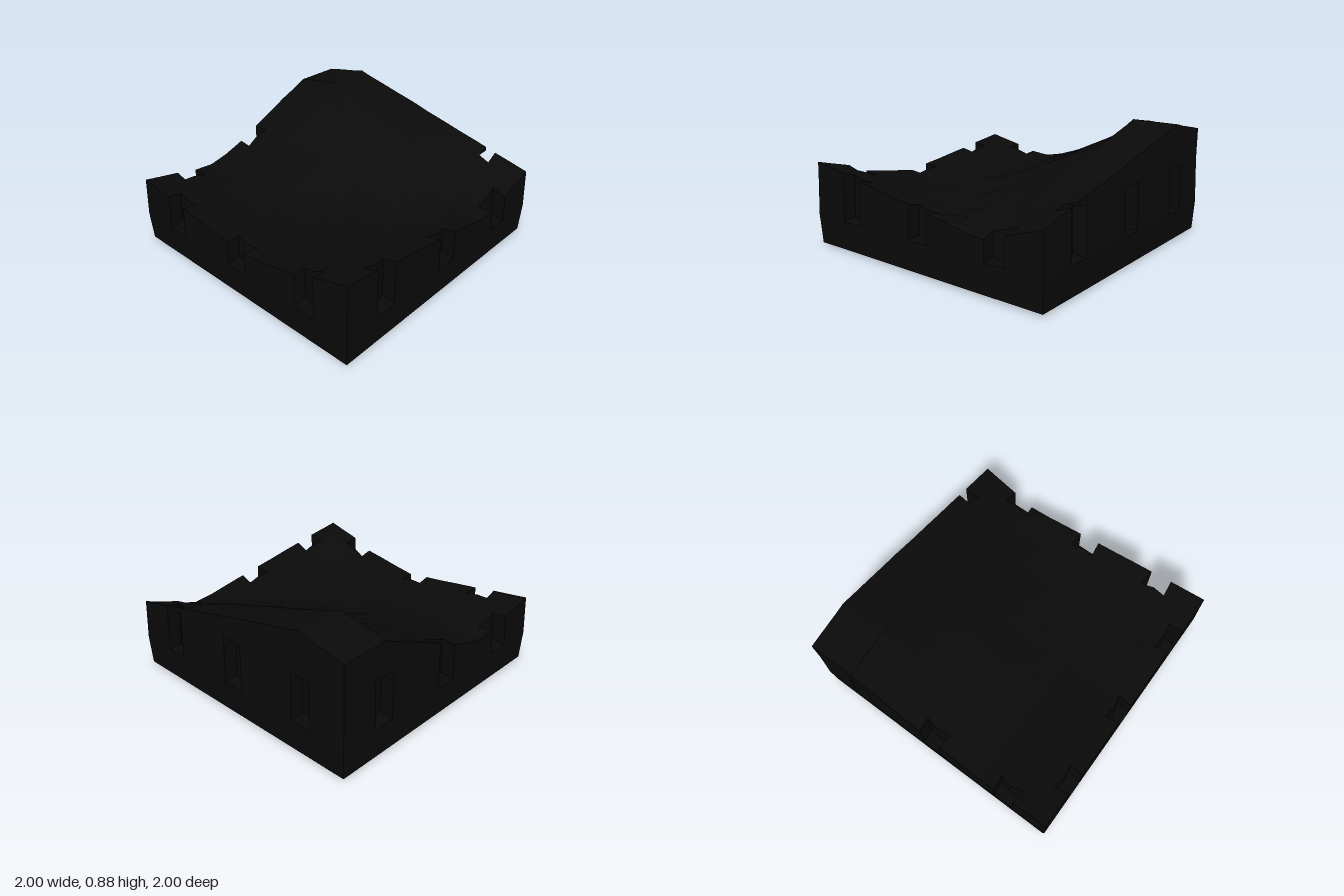
import * as THREE from 'three';

// grid lines shared by both axes; slots are centred on -0.64, 0 and 0.64
const LINES = [-1, -0.89, -0.735, -0.64, -0.545, -0.4, -0.25, -0.095, 0,
  0.095, 0.25, 0.4, 0.545, 0.64, 0.735, 0.89, 1];
const N = LINES.length - 1;
const SLOTS = [-0.64, 0, 0.64];
const SLOT_FLOOR = 0.23, SLOT_CEILING = 0.57;

// terrain heights: one row per z, one column per x
const COLS = [-1, -0.64, -0.25, 0.1, 0.55, 0.75, 1];
const ROWS = [-1, -0.63, -0.545, -0.4, -0.08, 0.1, 0.35, 0.55, 1];
const HEIGHTS = [
  [0.80, 0.88, 0.795, 0.72, 0.62, 0.58, 0.525],
  [0.81, 0.88, 0.755, 0.66, 0.525, 0.46, 0.39],
  [0.77, 0.77, 0.715, 0.625, 0.49, 0.425, 0.37],
  [0.71, 0.70, 0.655, 0.565, 0.44, 0.39, 0.385],
  [0.56, 0.55, 0.52, 0.43, 0.37, 0.38, 0.445],
  [0.49, 0.48, 0.455, 0.37, 0.37, 0.41, 0.47],
  [0.40, 0.39, 0.36, 0.36, 0.385, 0.44, 0.515],
  [0.42, 0.40, 0.36, 0.36, 0.40, 0.465, 0.55],
  [0.52, 0.475, 0.425, 0.385, 0.47, 0.55, 0.62],
];

// index and fraction of v within a rising list
function locate(list, v) {
  let k = 0;
  while (k < list.length - 2 && v > list[k + 1]) k++;
  return [k, (v - list[k]) / (list[k + 1] - list[k])];
}

function height(x, z) {
  const [c, s] = locate(COLS, x), [r, t] = locate(ROWS, z);
  const row = (k) => THREE.MathUtils.lerp(HEIGHTS[k][c], HEIGHTS[k][c + 1], s);
  return THREE.MathUtils.lerp(row(r), row(r + 1), t);
}

const isRim = (k) => k === 0 || k === N;
const nearSlot = (v) => SLOTS.find((s) => Math.abs(v - s) < 0.1);

// plan position of one axis: narrow slot mouths, bowed slot back walls
function planCoord(k, other) {
  const v = LINES[k], slot = nearSlot(v);
  if (isRim(other) && slot !== undefined) return v - Math.sign(v - slot) * 0.013;
  if ((k === 1 || k === N - 1) && SLOTS.includes(LINES[other])) return v + Math.sign(v) * 0.02;
  return v;
}

// corner of the grid at one of four levels: base, slot floor, slot ceiling, terrain
function corner(i, j, level) {
  const x = LINES[i], z = LINES[j], h = height(x, z);
  const base = 0.015 * Math.max(Math.abs(x), Math.abs(z)) ** 4;
  const y = [base, SLOT_FLOOR, Math.min(h, SLOT_CEILING), h][level];
  const s = level === 1 ? 1 : 0.99;
  return [planCoord(i, j) * s, y, planCoord(j, i) * s];
}

// which of the three height bands of a cell are solid
function bands(i, j) {
  if (i < 0 || j < 0 || i >= N || j >= N) return [0, 0, 0];
  const x = (LINES[i] + LINES[i + 1]) / 2, z = (LINES[j] + LINES[j + 1]) / 2;
  const inSlot = ((i === 0 || i === N - 1) && nearSlot(z) !== undefined)
    || ((j === 0 || j === N - 1) && nearSlot(x) !== undefined);
  if (!inSlot) return [1, 1, 1];
  return height(x, z) < 0.595 ? [1, 0, 0] : [1, 0, 1];
}

function tileGeometry() {
  const pos = [];
  const quad = (a, b, c, d) => pos.push(...a, ...b, ...c, ...a, ...c, ...d);
  for (let i = 0; i < N; i++) for (let j = 0; j < N; j++) {
    const own = bands(i, j);
    const ring = [[i, j], [i, j + 1], [i + 1, j + 1], [i + 1, j]];
    const around = [bands(i - 1, j), bands(i, j + 1), bands(i + 1, j), bands(i, j - 1)];
    for (let k = 0; k < 3; k++) {
      if (!own[k]) continue;
      // upward and downward faces
      if (!own[k + 1]) quad(...ring.map(([a, b]) => corner(a, b, k + 1)));
      if (!own[k - 1]) quad(...ring.map(([a, b]) => corner(a, b, k)).reverse());
      // walls towards empty neighbours
      ring.forEach((p, e) => {
        if (around[e][k]) return;
        const q = ring[(e + 1) % 4];
        quad(corner(...p, k), corner(...q, k), corner(...q, k + 1), corner(...p, k + 1));
      });
    }
  }
  const geometry = new THREE.BufferGeometry();
  geometry.setAttribute('position', new THREE.Float32BufferAttribute(pos, 3));
  geometry.computeVertexNormals();
  return geometry;
}

export function createModel() {
  const group = new THREE.Group();
  group.name = 'terrainTile';
  const material = new THREE.MeshStandardMaterial({ color: 0x0a0a0a, flatShading: true });
  const tile = new THREE.Mesh(tileGeometry(), material);
  tile.name = 'slottedTerrainBlock';
  group.add(tile);
  return group;
}
